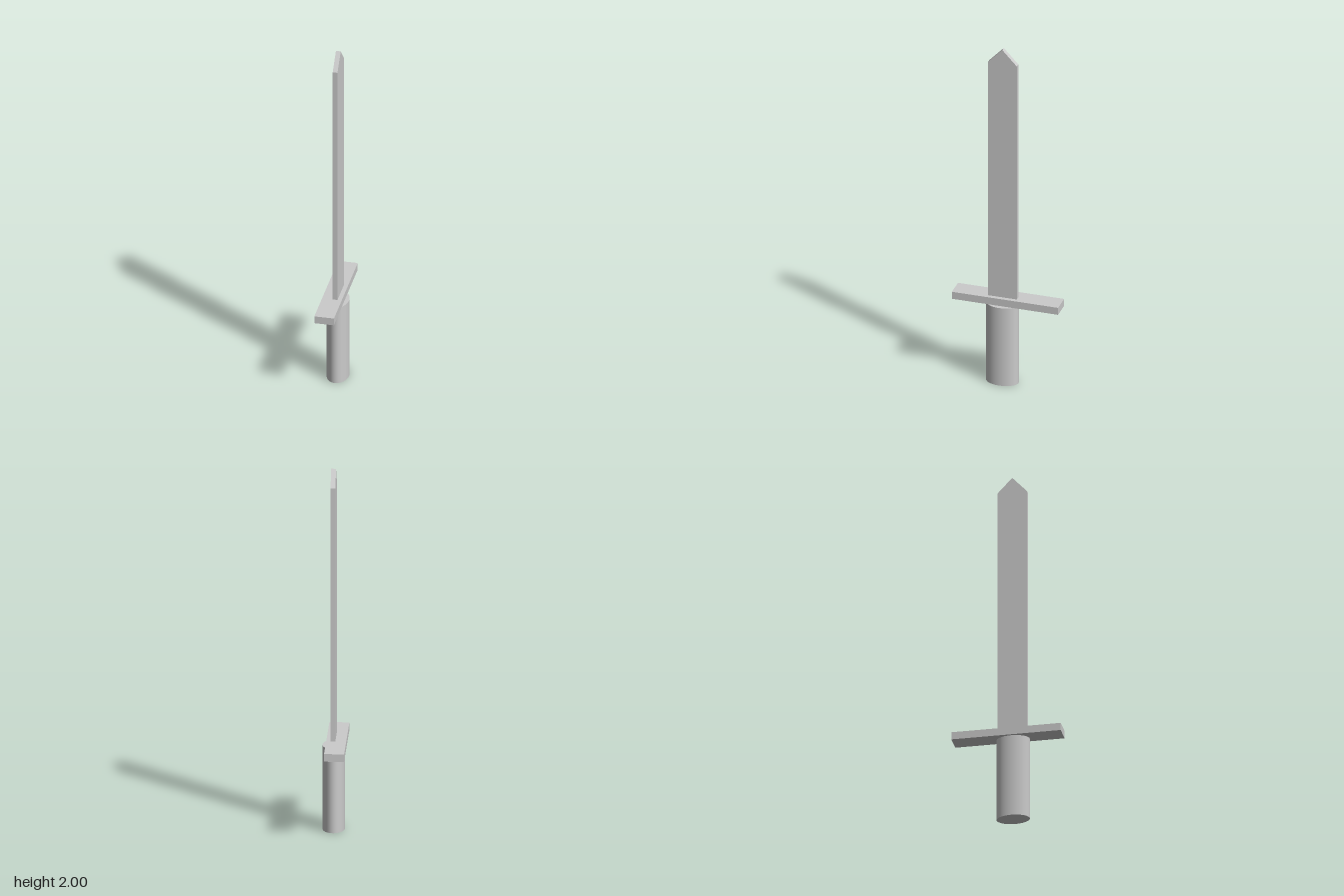
import * as THREE from 'three';

export function createModel() {
  const group = new THREE.Group();
  const material = new THREE.MeshStandardMaterial({ color: 0xcccccc });
  const add = (name, geometry, x, y, z) => {
    const mesh = new THREE.Mesh(geometry, material);
    mesh.name = name;
    mesh.position.set(x, y, z);
    group.add(mesh);
  };

  // Oval grip
  const gripHeight = 0.467;
  const grip = new THREE.CylinderGeometry(1, 1, gripHeight, 32).scale(0.0595, 1, 0.09);
  add('grip', grip, 0.005, gripHeight / 2, 0.024);

  // Flat crossguard
  add('crossguard', new THREE.BoxGeometry(0.107, 0.042, 0.594), -0.0125, 0.488, -0.001);

  // Thin blade with a pointed tip, its outline turned into the z-y plane
  const halfWidth = 0.081, base = 0.509, shoulder = 1.914, tip = 2;
  const outline = new THREE.Shape([
    new THREE.Vector2(-halfWidth, base),
    new THREE.Vector2(halfWidth, base),
    new THREE.Vector2(halfWidth, shoulder),
    new THREE.Vector2(0, tip),
    new THREE.Vector2(-halfWidth, shoulder),
  ]);
  const blade = new THREE.ExtrudeGeometry(outline, { depth: 0.026, bevelEnabled: false });
  blade.rotateY(-Math.PI / 2);
  add('blade', blade, 0.018, 0, 0.021);

  return group;
}
